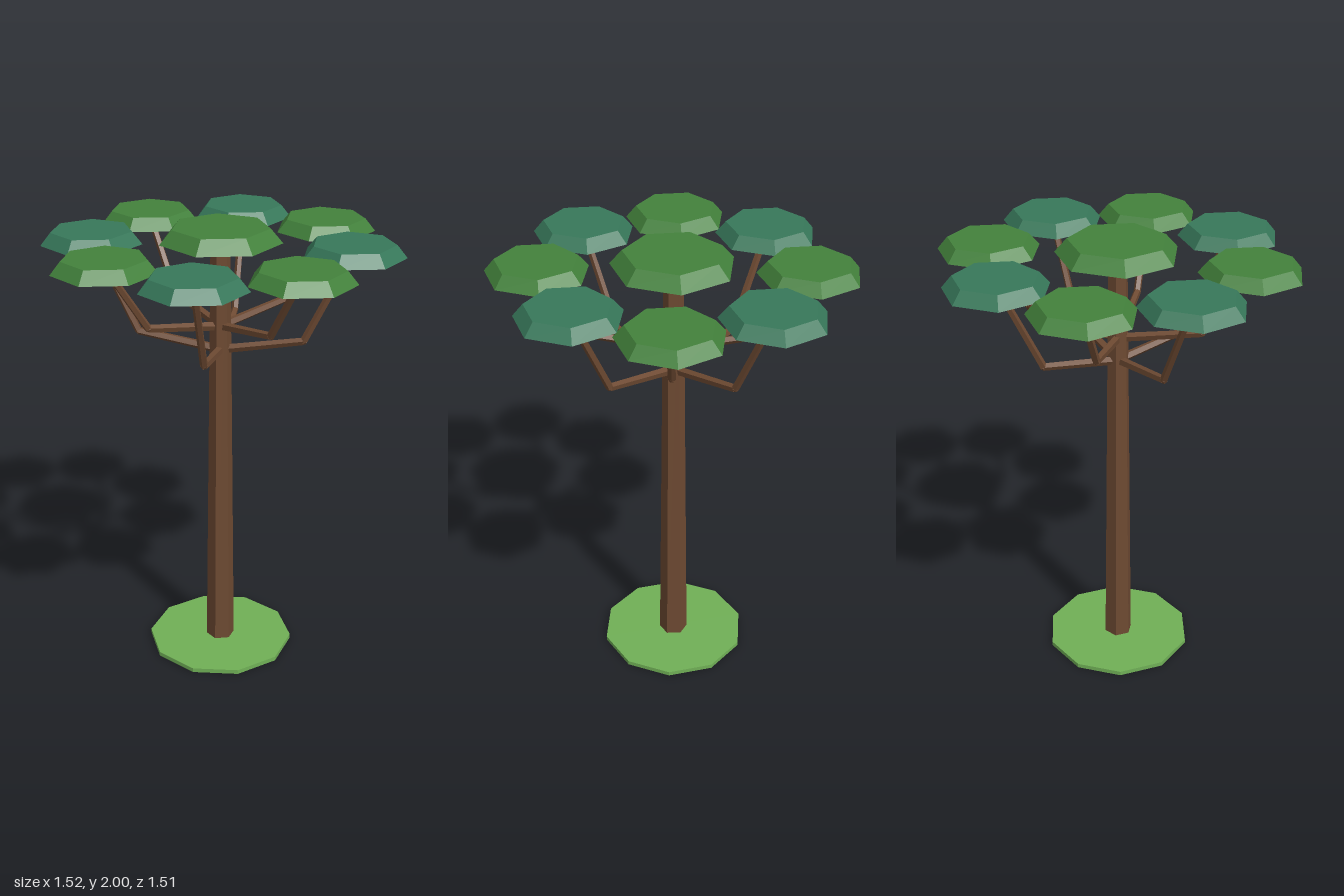
import * as THREE from 'three';

export function createModel() {
  const tree = new THREE.Group();
  tree.name = 'tree';

  const material = (name, color) => {
    const m = new THREE.MeshStandardMaterial({ color, flatShading: true });
    m.name = name;
    return m;
  };
  const bark = material('bark brown', 0x6e4a32);
  const hiveBrown = material('hive brown', 0x6b4028);
  const leafGreen = material('leaf green', 0x43823c);
  const leafTeal = material('leaf teal', 0x37785a);
  const grass = material('grass green', 0x70b056);

  const add = (name, geometry, mat, x, y, z, parent = tree) => {
    const mesh = new THREE.Mesh(geometry, mat);
    mesh.name = name;
    mesh.position.set(x, y, z);
    parent.add(mesh);
    return mesh;
  };

  // Tapered limb running between two points
  const limb = (name, from, to, r0, r1, parent) => {
    const dir = to.clone().sub(from);
    const mid = from.clone().add(to).multiplyScalar(0.5);
    const mesh = add(name, new THREE.CylinderGeometry(r1, r0, dir.length(), 5), bark, mid.x, mid.y, mid.z, parent);
    mesh.quaternion.setFromUnitVectors(new THREE.Vector3(0, 1, 0), dir.normalize());
  };

  // Seven-sided leaf pad with bevelled rim, placed by its underside
  const leafPad = (name, r, h, mat, x, y, z, parent) =>
    add(name, new THREE.CylinderGeometry(r * 0.8, r, h, 7), mat, x, y + h / 2, z, parent);

  // Ground disc and trunk
  add('ground', new THREE.CylinderGeometry(0.332, 0.332, 0.02, 10), grass, 0, 0.01, 0);
  add('trunk', new THREE.CylinderGeometry(0.042, 0.065, 1.95, 6), bark, 0, 0.975, 0);

  // Crown: a central pad and eight bent branches, alternating low and high
  leafPad('crownPad', 0.263, 0.06, leafGreen, 0, 1.94, 0);
  for (let i = 0; i < 8; i++) {
    const a = 0.2 + (i * Math.PI) / 4;
    const low = i % 2 === 0;
    const startY = low ? 1.46 : 1.565;
    const at = (r, y) => new THREE.Vector3(Math.sin(a) * r, y, Math.cos(a) * r);
    const start = at(0, startY);
    const elbow = at(0.36, startY + 0.06);
    const tip = at(0.555, 1.92);

    const branch = new THREE.Group();
    branch.name = 'branch';
    tree.add(branch);
    limb('lowerBranch', start, elbow, 0.02, 0.017, branch);
    limb('upperBranch', elbow, tip, 0.017, 0.015, branch);
    add('elbow', new THREE.IcosahedronGeometry(0.017, 0), bark, elbow.x, elbow.y, elbow.z, branch);
    leafPad('leafPad', 0.22, 0.053, low ? leafTeal : leafGreen, tip.x, 1.905, tip.z, branch);
  }

  // Hive hanging under the leaves
  const hive = add('hive', new THREE.SphereGeometry(0.04, 6, 5), hiveBrown, -0.225, 1.85, -0.415);
  hive.scale.y = 1.25;

  // Centre the footprint front to back
  tree.children.forEach((part) => { part.position.z -= 0.013; });
  return tree;
}
